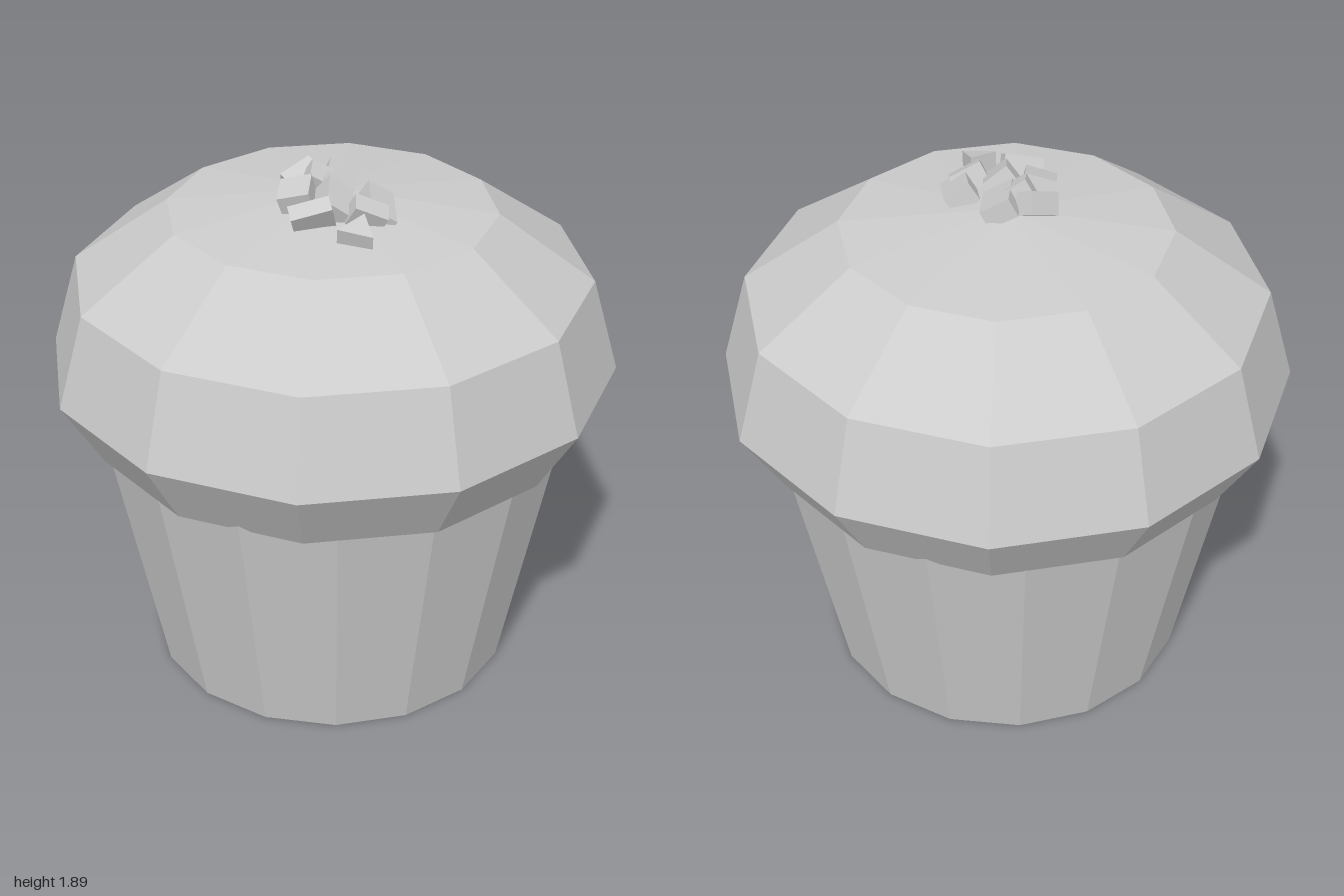
import * as THREE from 'three';

const material = new THREE.MeshStandardMaterial({ color: 0xcccccc, flatShading: true });

function addMesh(parent, name, geometry) {
  const mesh = new THREE.Mesh(geometry, material);
  mesh.name = name;
  parent.add(mesh);
  return mesh;
}

function lathe(points, sides) {
  return new THREE.LatheGeometry(points.map(([r, y]) => new THREE.Vector2(r, y)), sides);
}

export function createModel() {
  const model = new THREE.Group();
  model.name = 'muffin';

  // Sixteen-sided tapered paper cup, its rim hidden inside the cake
  addMesh(model, 'paperCup', lathe([[0, 0], [0.655, 0], [0.845, 0.96], [0, 0.96]], 16));

  // Twelve-sided cake top, overhanging the cup
  addMesh(model, 'cakeTop', lathe(
    [[0, 0.91], [0.856, 0.91], [1, 1.15], [0.905, 1.48], [0.57, 1.715], [0, 1.785]], 12));

  // Nut crumbs scattered forward from the peak: position, size, rotation
  const crumbs = new THREE.Group();
  crumbs.name = 'crumbs';
  model.add(crumbs);
  [
    [[-0.08, 1.80, -0.04], [0.12, 0.08, 0.12], [0.45, 0.3, 0.25]],
    [[0.015, 1.80, 0.01], [0.11, 0.07, 0.16], [0.1, -0.55, -0.45]],
    [[-0.06, 1.83, 0.01], [0.08, 0.07, 0.09], [0.3, -0.5, -0.4]],
    [[-0.15, 1.80, 0.06], [0.11, 0.09, 0.11], [0.3, -0.5, 0.4]],
    [[-0.06, 1.80, 0.15], [0.10, 0.08, 0.14], [0.35, -0.45, -0.5]],
    [[-0.16, 1.79, 0.20], [0.14, 0.09, 0.06], [0.5, -0.15, 0.35]],
    [[0.08, 1.77, 0.19], [0.10, 0.07, 0.17], [0.2, -0.35, -0.5]],
    [[0.02, 1.78, 0.24], [0.12, 0.08, 0.07], [0.4, -0.4, -0.3]],
  ].forEach(([position, size, rotation]) => {
    const crumb = addMesh(crumbs, 'crumb', new THREE.BoxGeometry(...size));
    crumb.position.set(...position);
    crumb.rotation.set(...rotation);
  });

  // Wedge-shaped crumb at the front of the cluster
  const wedge = addMesh(crumbs, 'wedgeCrumb', new THREE.CylinderGeometry(0.07, 0.07, 0.07, 3));
  wedge.position.set(-0.06, 1.765, 0.345);
  wedge.rotation.set(0.25, 0.35, 0.1);

  return model;
}
